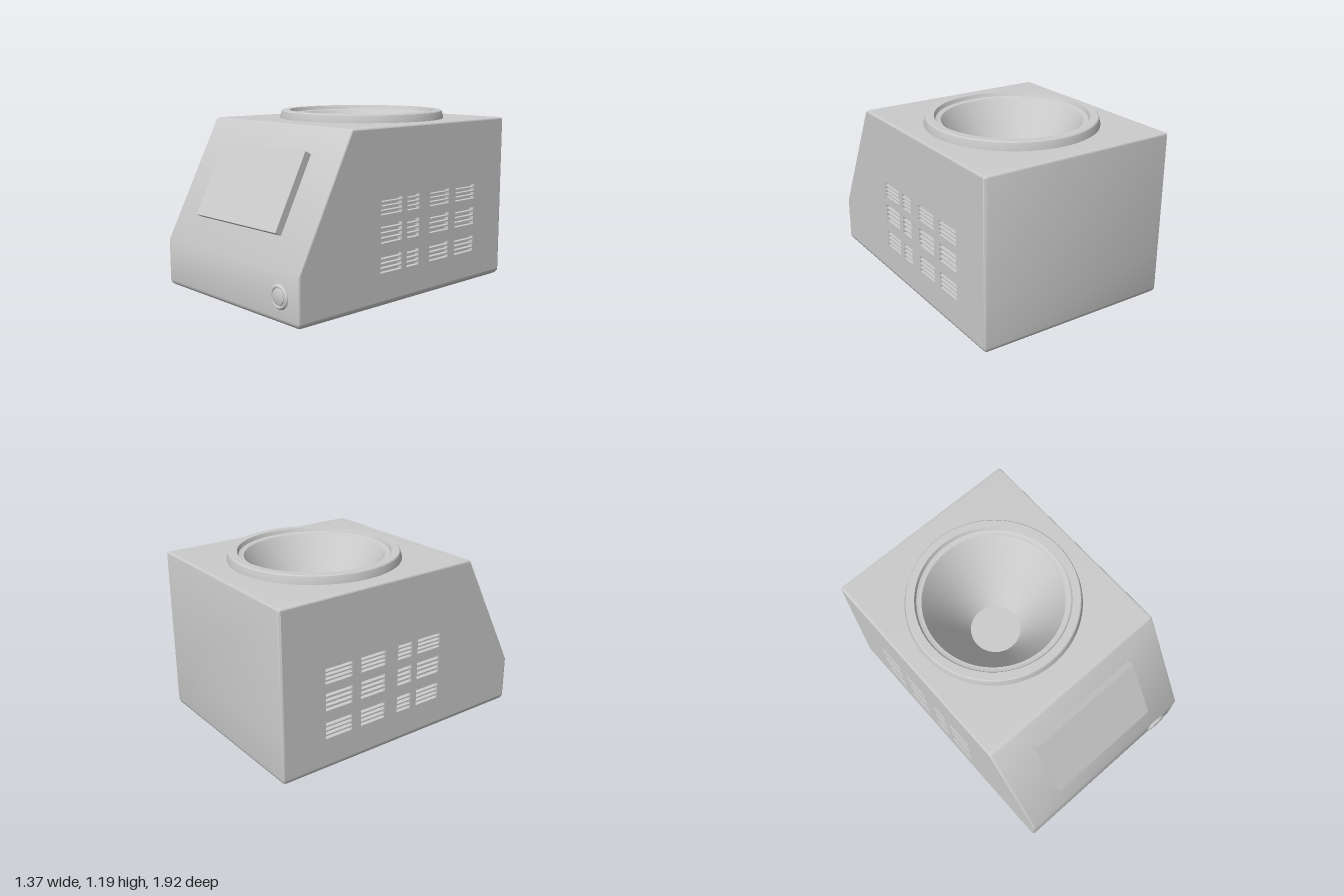
import * as THREE from 'three';
import { mergeGeometries, toCreasedNormals } from 'three/addons/utils/BufferGeometryUtils.js';

const W = 0.685, BACK = -0.955, FRONT = 0.95, TOP = 1.135, KNEE = 0.32, R = 0.015;
const BOWL_Z = -0.225;

// front surface: upright below the knee, sloping back above it
const frontZ = (y) => (y <= KNEE ? FRONT : FRONT - ((y - KNEE) / (TOP - KNEE)) * 0.42);

// rounded rectangle in (x, z), counter-clockwise from above, 4 points per corner
function loop(y, inset) {
  const points = [];
  const back = BACK + inset + R, front = frontZ(y) - inset - R, half = W - inset - R;
  const corners = [[half, back], [-half, back], [-half, front], [half, front]];
  corners.forEach(([cx, cz], k) => {
    for (let i = 0; i < 4; i++) {
      const a = (k + i / 3) * Math.PI / 2;
      points.push(new THREE.Vector2(cx + R * Math.cos(a), cz - R * Math.sin(a)));
    }
  });
  return points;
}

// housing shell; the flat sides are left open for the vent panels
function shellGeometry() {
  const levels = [];
  for (let i = 0; i <= 5; i++) {
    const a = (i / 5) * Math.PI / 2;
    levels.push([0.04 * (1 - Math.cos(a)), 0.04 * (1 - Math.sin(a))]);
  }
  levels.push([KNEE, 0], [1.123, 0], [1.131, 0.004], [TOP, 0.012]);
  const loops = levels.map(([y, inset]) => loop(y, inset));
  const positions = [], index = [], n = 16;
  loops.forEach((pts, j) => pts.forEach((p) => positions.push(p.x, levels[j][0], p.y)));
  for (let j = 0; j < loops.length - 1; j++) {
    for (let i = 0; i < n; i++) {
      if ((j === 5 || j === 6) && (i === 7 || i === 15)) continue;
      const a = j * n + i, b = j * n + (i + 1) % n;
      index.push(a, b, b + n, a, b + n, a + n);
    }
  }
  const wall = new THREE.BufferGeometry();
  wall.setAttribute('position', new THREE.Float32BufferAttribute(positions, 3));
  wall.setIndex(index);

  // top plate with the bowl opening, and the base plate
  const topShape = new THREE.Shape(loops[loops.length - 1].map((p) => new THREE.Vector2(p.x, -p.y)));
  topShape.holes.push(new THREE.Path().absarc(0, -BOWL_Z, 0.53, 0, Math.PI * 2, true));
  const top = new THREE.ShapeGeometry(topShape, 48).rotateX(-Math.PI / 2).translate(0, TOP, 0);
  const base = new THREE.ShapeGeometry(new THREE.Shape(loops[0])).rotateX(Math.PI / 2);

  const parts = [wall, top, base].map((g) => {
    const flat = g.toNonIndexed();
    flat.deleteAttribute('uv');
    flat.deleteAttribute('normal');
    return flat;
  });
  return toCreasedNormals(mergeGeometries(parts), 0.55);
}

// side panel with a grid of louvre slots; side is +1 or -1
const VENT_COLUMNS = [[0.28, 0.09], [0.04, -0.075], [-0.18, -0.37], [-0.44, -0.64]];
const VENT_ROWS = [[0.59, 0.69], [0.41, 0.53], [0.22, 0.33]];
function sidePanelGeometry(side, depth) {
  const u = (z) => -side * z;
  const outline = [0.04, KNEE, 1.123].map((y) => new THREE.Vector2(u(frontZ(y) - R), y));
  outline.push(new THREE.Vector2(u(BACK + R), 1.123), new THREE.Vector2(u(BACK + R), 0.04));
  const shape = new THREE.Shape(outline);
  for (const [z0, z1] of VENT_COLUMNS) {
    for (const [y0, y1] of VENT_ROWS) {
      const gap = 0.01, slots = 4;
      const h = (y1 - y0 - gap * (slots - 1)) / slots;
      for (let i = 0; i < slots; i++) {
        const y = y0 + i * (h + gap);
        const corners = [[z0, y], [z1, y], [z1, y + h], [z0, y + h]];
        shape.holes.push(new THREE.Path(corners.map(([z, v]) => new THREE.Vector2(u(z), v))));
      }
    }
  }
  return new THREE.ExtrudeGeometry(shape, { depth, bevelEnabled: false });
}

function latheGeometry(profile, segments) {
  const points = profile.map(([x, y]) => new THREE.Vector2(x, y));
  return toCreasedNormals(new THREE.LatheGeometry(points, segments).toNonIndexed(), 0.5);
}

export function createModel() {
  const model = new THREE.Group();
  const grey = new THREE.MeshStandardMaterial({ color: 0xcccccc });
  const add = (name, geometry, parent = model) => {
    const mesh = new THREE.Mesh(geometry, grey);
    mesh.name = name;
    parent.add(mesh);
    return mesh;
  };

  add('housing', shellGeometry());

  // louvred sides, each closed by a plate behind the slots
  const depth = 0.03;
  for (const side of [1, -1]) {
    const group = new THREE.Group();
    group.name = side > 0 ? 'leftVents' : 'rightVents';
    const panel = add('louvrePanel', sidePanelGeometry(side, depth), group);
    panel.rotation.y = side * Math.PI / 2;
    panel.position.x = side * (W - depth);
    const plate = add('ventBacking', new THREE.BoxGeometry(0.01, 0.54, 1.0), group);
    plate.position.set(side * (W - depth - 0.005), 0.455, -0.18);
    model.add(group);
  }

  // raised collar, inner ledge and conical well
  const bowl = add('bowl', latheGeometry([
    [0.573, 1.12], [0.573, 1.142], [0.562, 1.184], [0.556, 1.19], [0.505, 1.19], [0.495, 1.165],
    [0.485, 1.16], [0.462, 1.16], [0.455, 1.15], [0.173, 0.65], [0, 0.65],
  ], 96));
  bowl.position.z = BOWL_Z;

  // display slab lying on the sloped front
  const tilt = 0.474;
  const display = add('display', new THREE.BoxGeometry(0.83, 0.526, 0.06));
  display.rotation.x = -tilt;
  display.position.set(0, 0.76 - Math.sin(tilt) * 0.03, 0.778 - Math.cos(tilt) * 0.03);

  // round push button with a rim
  const button = add('button', latheGeometry([
    [0.078, -0.01], [0.078, 0.004], [0.068, 0.015], [0.058, 0.015], [0.055, 0.009],
    [0.052, 0.009], [0.05, 0.016], [0.045, 0.018], [0, 0.018],
  ], 40));
  button.rotation.x = Math.PI / 2;
  button.position.set(0.513, 0.17, FRONT);

  return model;
}
